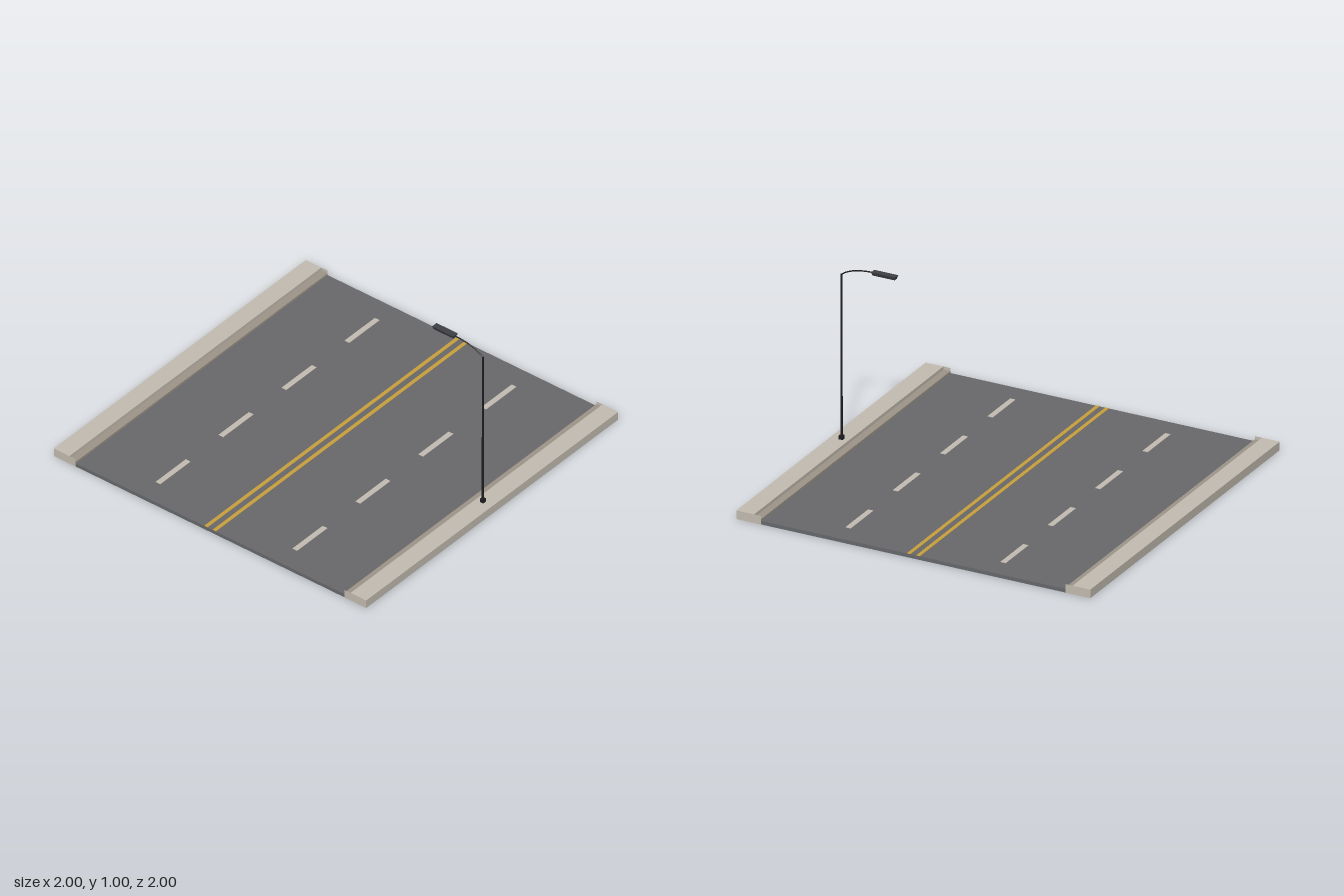
import * as THREE from 'three';

const mat = (name, color, side = THREE.FrontSide) => {
  const m = new THREE.MeshStandardMaterial({ color, side });
  m.name = name;
  return m;
};

export function createModel() {
  const group = new THREE.Group();
  const asphalt = mat('asphalt', 0x68696c);
  const concrete = mat('concrete', 0xc3bcb1, THREE.DoubleSide);
  const curbStone = mat('curb stone', 0x9d9588, THREE.DoubleSide);
  const yellow = mat('yellow paint', 0xc9a03c);
  const white = mat('white paint', 0xc3bcb1);
  const poleMetal = mat('pole metal', 0x1d1d21);
  const headMetal = mat('lamp head metal', 0x404145);

  const add = (name, geometry, material, x = 0, y = 0, z = 0) => {
    const mesh = new THREE.Mesh(geometry, material);
    mesh.name = name;
    mesh.position.set(x, y, z);
    group.add(mesh);
    return mesh;
  };
  const box = (name, w, h, d, material, x, y, z) =>
    add(name, new THREE.BoxGeometry(w, h, d), material, x, y, z);

  // Sweep an open [x, y] profile along the whole length of the road
  const sweep = (points, side) => {
    const pos = [];
    for (let i = 0; i < points.length - 1; i++) {
      const [ax, ay] = points[i], [bx, by] = points[i + 1];
      const a = [ax * side, ay, 1], b = [bx * side, by, 1];
      const c = [bx * side, by, -1], d = [ax * side, ay, -1];
      const quad = side > 0 ? [a, d, c, a, c, b] : [a, c, d, a, b, c];
      pos.push(...quad.flat());
    }
    const g = new THREE.BufferGeometry();
    g.setAttribute('position', new THREE.Float32BufferAttribute(pos, 3));
    g.computeVertexNormals();
    return g;
  };

  // Road slab and painted lines
  const roadTop = 0.02;
  box('road', 1.718, roadTop, 1.998, asphalt, 0, roadTop / 2, 0);
  for (const side of [-1, 1]) {
    box('centreLine', 0.021, 0.002, 1.998, yellow, side * 0.0265, roadTop + 0.001, 0);
    for (const z of [-0.75, -0.25, 0.25, 0.75]) {
      box('laneDash', 0.03, 0.002, 0.24, white, side * 0.438, roadTop + 0.001, z);
    }
  }

  // Hollow sidewalks with a lower curb step and upright end panels
  const walkTop = 0.047, curbTop = 0.03;
  for (const side of [-1, 1]) {
    const label = side > 0 ? 'left' : 'right';
    add(label + 'Sidewalk', sweep([[1, 0], [1, walkTop], [0.9, walkTop], [0.9, curbTop]], side), concrete);
    add(label + 'Curb', sweep([[0.9, curbTop], [0.86, curbTop], [0.86, 0]], side), curbStone);
    for (const end of [-1, 1]) {
      const cap = add(label + 'SidewalkEnd', new THREE.PlaneGeometry(0.14, walkTop), concrete,
        side * 0.93, walkTop / 2, end);
      if (end < 0) cap.rotation.y = Math.PI;
    }
  }

  // Street lamp: foot, pole and curved arm
  const lampX = 0.94;
  box('lampFoot', 0.022, 0.02, 0.022, poleMetal, lampX, walkTop + 0.01, 0);
  add('lampPole', new THREE.CylinderGeometry(0.005, 0.006, 0.905, 8), poleMetal, lampX, walkTop + 0.4525, 0);
  const arm = new THREE.QuadraticBezierCurve3(
    new THREE.Vector3(lampX, 0.95, 0),
    new THREE.Vector3(0.885, 0.997, 0),
    new THREE.Vector3(0.75, 0.998, 0));
  add('lampArm', new THREE.TubeGeometry(arm, 8, 0.0035, 6), poleMetal);

  // Lamp head, narrower underneath
  const head = new THREE.BoxGeometry(0.136, 0.018, 0.036);
  const p = head.attributes.position;
  for (let i = 0; i < p.count; i++) {
    if (p.getY(i) < 0) p.setXYZ(i, p.getX(i) * 0.92, p.getY(i), p.getZ(i) * 0.65);
  }
  head.computeVertexNormals();
  add('lampHead', head, headMetal, 0.697, 0.996, 0);

  return group;
}
